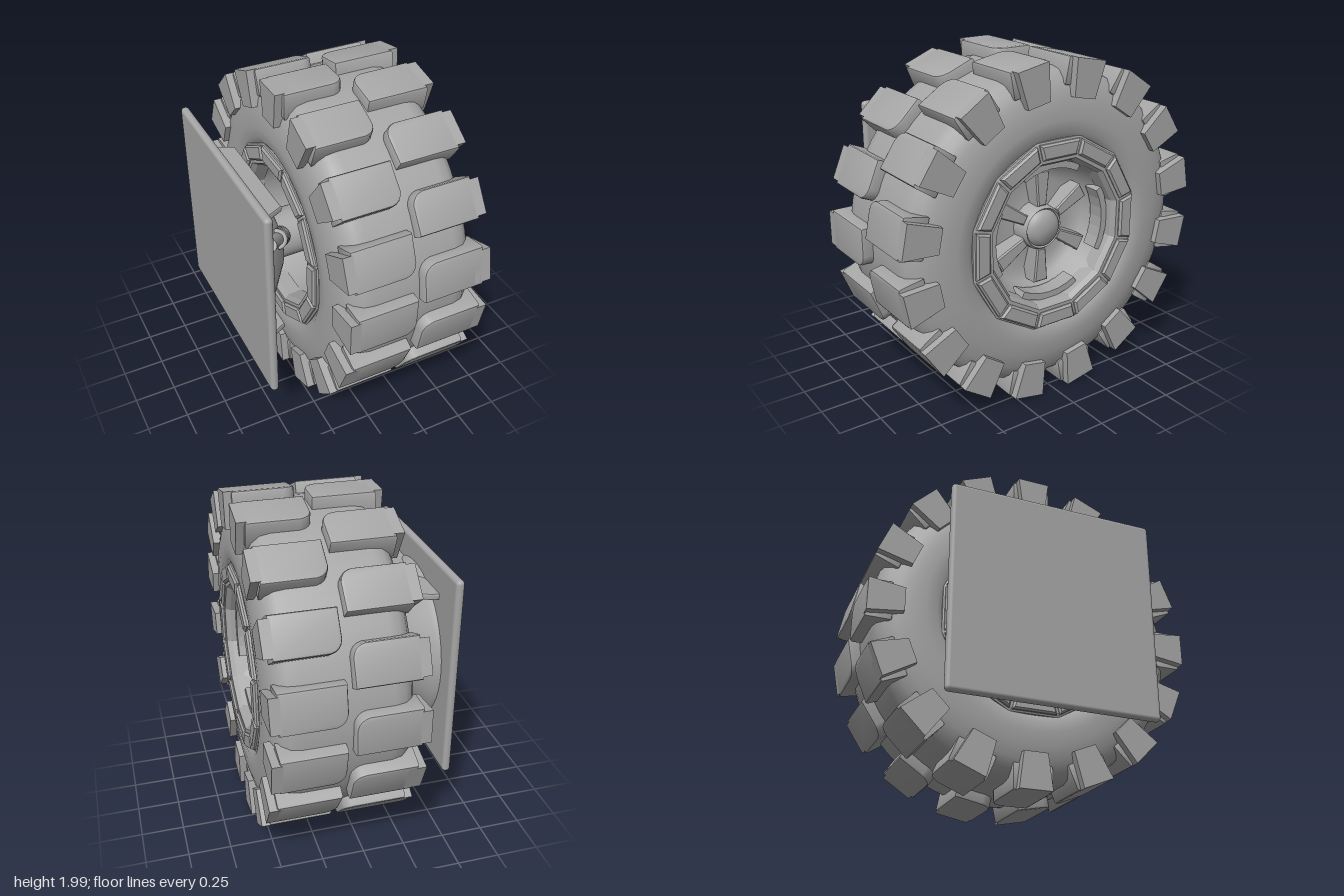
import * as THREE from 'three';
import { RoundedBoxGeometry } from 'three/addons/geometries/RoundedBoxGeometry.js';
import { toCreasedNormals } from 'three/addons/utils/BufferGeometryUtils.js';

const MID = 0.15; // wheel centre along x
const grey = new THREE.MeshStandardMaterial({ color: 0xa6a6a6, side: THREE.DoubleSide });
grey.name = 'grey';

function add(parent, name, geometry) {
  const mesh = new THREE.Mesh(geometry, grey);
  mesh.name = name;
  parent.add(mesh);
  return mesh;
}

// Lathe around the x axis; points are [x, radius]
function turned(points, segments = 48, crease = 0.7, phase = 0) {
  const g = new THREE.LatheGeometry(points.map(([x, r]) => new THREE.Vector2(r, x)), segments, phase);
  g.rotateZ(-Math.PI / 2);
  return toCreasedNormals(g, crease);
}

// Extrudes a (tangent, radius) shape along x from x0 to x1
const toAxial = new THREE.Matrix4().makeBasis(
  new THREE.Vector3(0, 1, 0), new THREE.Vector3(0, 0, 1), new THREE.Vector3(1, 0, 0));
function axial(shape, x0, x1, bevel = 0.008) {
  const g = new THREE.ExtrudeGeometry(shape, {
    depth: x1 - x0 - 2 * bevel, bevelEnabled: bevel > 0, bevelSize: bevel, bevelThickness: bevel,
    bevelOffset: -bevel, bevelSegments: 1, curveSegments: 3,
  });
  g.translate(0, 0, x0 + bevel);
  return g.applyMatrix4(toAxial);
}

// Radial trapezoid: half widths w0 at r0 and w1 at r1
function trapezoid(r0, r1, w0, w1) {
  return new THREE.Shape([[-w0, r0], [w0, r0], [w1, r1], [-w1, r1]].map(p => new THREE.Vector2(...p)));
}

function around(parent, name, geometry, count, offset = 0) {
  for (let i = 0; i < count; i++) {
    add(parent, name, geometry).rotation.x = -(offset + i / count * Math.PI * 2);
  }
}

// Tread block with one large rounded corner towards the middle of the tyre
function treadBlock() {
  const a = 0.02, b = 0.385, h = 0.117, c = 0.07;
  const s = new THREE.Shape();
  s.moveTo(a, -h);
  s.lineTo(b, -h);
  s.lineTo(b, h);
  s.lineTo(a + c, h);
  s.quadraticCurveTo(a + 0.01, h - 0.01, a, h - c);
  s.closePath();
  const g = new THREE.ExtrudeGeometry(s, {
    depth: 0.128, bevelSize: 0.015, bevelThickness: 0.015, bevelOffset: -0.015,
    bevelSegments: 2, curveSegments: 4,
  });
  g.translate(0, 0, 0.85);
  return toCreasedNormals(g, 0.6);
}

// One side of the wheel, facing +x from its centre
function wheelSide(offset) {
  const side = new THREE.Group();
  around(side, 'treadBlock', treadBlock(), 16, offset);
  around(side, 'shoulderLug', axial(trapezoid(0.78, 0.993, 0.072, 0.1), 0.33, 0.43, 0), 16, offset);
  add(side, 'rimRing', turned(
    [[0.3, 0.585], [0.4, 0.575], [0.41, 0.55], [0.41, 0.45], [0.38, 0.43], [0.3, 0.42]], 12, 0.1, Math.PI / 12));
  around(side, 'rimBlock', axial(trapezoid(0.455, 0.545, 0.113, 0.137), 0.38, 0.428, 0.012), 12);
  return side;
}

export function createModel() {
  const model = new THREE.Group();
  const wheel = new THREE.Group();
  wheel.name = 'wheel';
  wheel.position.set(MID, 1, 0);
  model.add(wheel);

  // Tyre body
  const half = [[0.3, 0.5], [0.38, 0.54], [0.41, 0.59], [0.412, 0.66], [0.405, 0.74],
    [0.385, 0.82], [0.355, 0.88], [0.31, 0.918], [0.25, 0.93]];
  const profile = [...half.map(([x, r]) => [-x, r]), ...half.slice().reverse()];
  add(wheel, 'tyre', turned(profile, 64, 1));

  // Outer side, and inner side turned half a revolution
  const outer = wheelSide(Math.PI / 16);
  outer.name = 'outerSide';
  const inner = wheelSide(0);
  inner.name = 'innerSide';
  inner.rotation.z = Math.PI;
  wheel.add(outer, inner);

  // Rim barrel and dish
  add(wheel, 'rimBarrel', turned([[-0.38, 0.44], [-0.3, 0.42], [0.15, 0.4], [0.3, 0.42]], 36));
  add(wheel, 'rimDish', turned(
    [[0.18, 0], [0.18, 0.15], [0.155, 0.28], [0.19, 0.36], [0.29, 0.41], [0.39, 0.44]]));
  for (let i = 0; i < 4; i++) {
    const a = i * Math.PI / 2;
    const arc = new THREE.Shape();
    arc.absarc(0, 0, 0.415, Math.PI / 2 - 0.5, Math.PI / 2 + 0.5, false);
    arc.absarc(0, 0, 0.375, Math.PI / 2 + 0.5, Math.PI / 2 - 0.5, true);
    add(wheel, 'rimLip', axial(arc, 0.25, 0.35, 0)).rotation.x = a;
  }
  around(wheel, 'spoke', axial(trapezoid(0.13, 0.34, 0.03, 0.048), 0.14, 0.27), 6, Math.PI / 6);

  // Hub and cap
  add(wheel, 'hub', turned([[0.15, 0.14], [0.27, 0.132], [0.285, 0.12], [0.27, 0.108]], 24));
  add(wheel, 'hubCap', turned([[0.26, 0.115], [0.29, 0.105], [0.31, 0.075], [0.32, 0]], 24, 1));

  // Mounting plate and tapered axle housing
  add(model, 'mountPlate', new RoundedBoxGeometry(0.05, 1.25, 1.25, 3, 0.024)).position.set(-0.555, 1.005, 0);
  const housing = add(model, 'axleHousing', turned([[-0.54, 0.5], [-0.5, 0.48], [-0.3, 0.21], [-0.29, 0.19], [-0.29, 0]]));
  housing.position.y = 1;
  const axle = add(model, 'axle', turned([[-0.3, 0.15], [0.32, 0.14]], 24));
  axle.position.y = 1;

  // Upper and lower suspension arms
  const armShape = new THREE.Shape([[-0.54, -0.4], [-0.48, -0.39], [-0.36, -0.33], [-0.36, 0.33], [-0.48, 0.39], [-0.54, 0.4]]
    .map(p => new THREE.Vector2(...p)));
  for (const y of [1.44, 0.57]) {
    const g = new THREE.ExtrudeGeometry(armShape, {
      depth: 0.02, bevelSize: 0.01, bevelThickness: 0.01, bevelOffset: -0.01, bevelSegments: 2 });
    g.rotateX(Math.PI / 2);
    add(model, 'suspensionArm', g).position.y = y + 0.01;
  }

  // Damper strut with spring rings
  const from = new THREE.Vector3(-0.47, 1.29, 0.42);
  const to = new THREE.Vector3(-0.27, 1.06, 0.1);
  const strut = new THREE.Group();
  strut.name = 'damperStrut';
  strut.position.copy(from);
  strut.quaternion.setFromUnitVectors(new THREE.Vector3(0, 1, 0), to.clone().sub(from).normalize());
  const length = from.distanceTo(to);
  add(strut, 'damperBody', new THREE.CylinderGeometry(0.042, 0.036, length, 20)).position.y = length / 2;
  for (let i = 0; i < 5; i++) {
    const ring = add(strut, 'springRing', new THREE.TorusGeometry(0.048, 0.014, 8, 20));
    ring.rotation.x = Math.PI / 2;
    ring.position.y = length - 0.03 - i * 0.035;
  }
  model.add(strut);
  return model;
}
